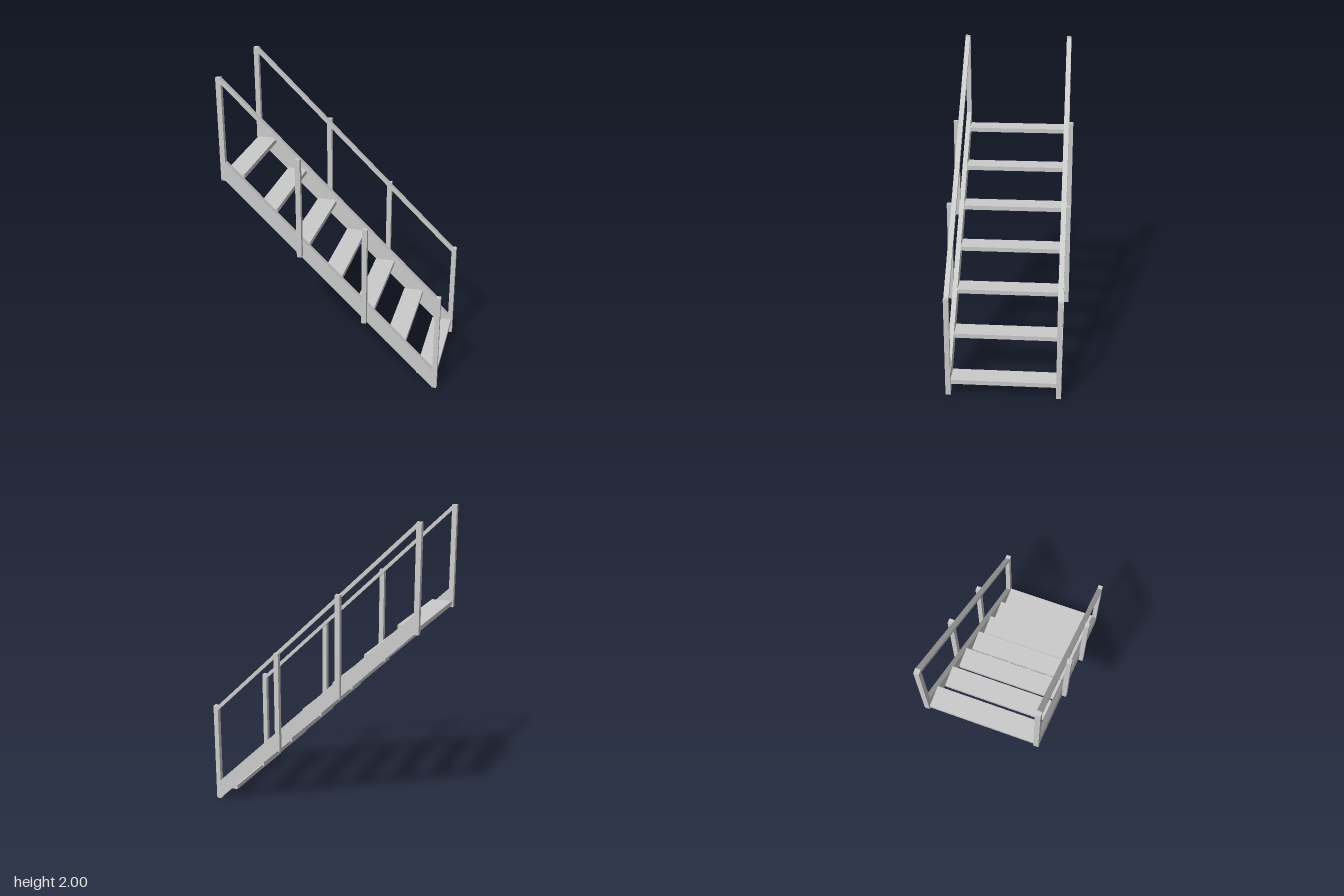
import * as THREE from 'three';

export function createModel() {
  const model = new THREE.Group();
  const material = new THREE.MeshStandardMaterial({ color: 0xcccccc, flatShading: true });
  const inner = 0.333, thick = 0.032, outer = inner + thick;

  const add = (name, geometry, x, y, z) => {
    const mesh = new THREE.Mesh(geometry, material);
    mesh.name = name;
    mesh.position.set(x, y, z);
    model.add(mesh);
  };

  // Upright post standing on y0
  const post = (name, x, y0, y1, z) =>
    add(name, new THREE.BoxGeometry(thick, y1 - y0, thick), x, (y0 + y1) / 2, z);

  // Sloping member with vertical ends, extruded across the side thickness
  const slope = (name, corners, z) => {
    const shape = new THREE.Shape(corners.map(([x, y]) => new THREE.Vector2(x, y)));
    const geometry = new THREE.ExtrudeGeometry(shape, { depth: thick, bevelEnabled: false });
    add(name, geometry, 0, 0, z - thick / 2);
  };

  // Seven open treads climbing towards -x
  for (let i = 0; i < 7; i++) {
    add('tread' + (i + 1), new THREE.BoxGeometry(0.134, 0.029, inner * 2),
      0.632 - i * 0.2107, 0.09 + i * 0.2115, 0);
  }

  // Matching stringer, handrail and posts on both sides
  for (const [side, s] of [['front', 1], ['back', -1]]) {
    const z = s * (inner + thick / 2);
    slope(side + 'Stringer', [[-0.68, 1.334], [0.68, 0.002], [0.68, 0.132], [-0.68, 1.46]], z);
    slope(side + 'Handrail', [[-0.68, 1.967], [0.68, 0.643], [0.68, 0.675], [-0.68, 1.998]], z);
    post(side + 'BottomPost', 0.692, 0, 0.675, z);
    post(side + 'TopPost', -0.692, 1.333, 2, z);
    // Middle posts are fixed to the outer face
    const zMid = s * (outer + thick / 2 - 0.003);
    post(side + 'LowerMiddlePost', 0.222, 0.44, 1.108, zMid);
    post(side + 'UpperMiddlePost', -0.2, 0.867, 1.532, zMid);
  }
  return model;
}
